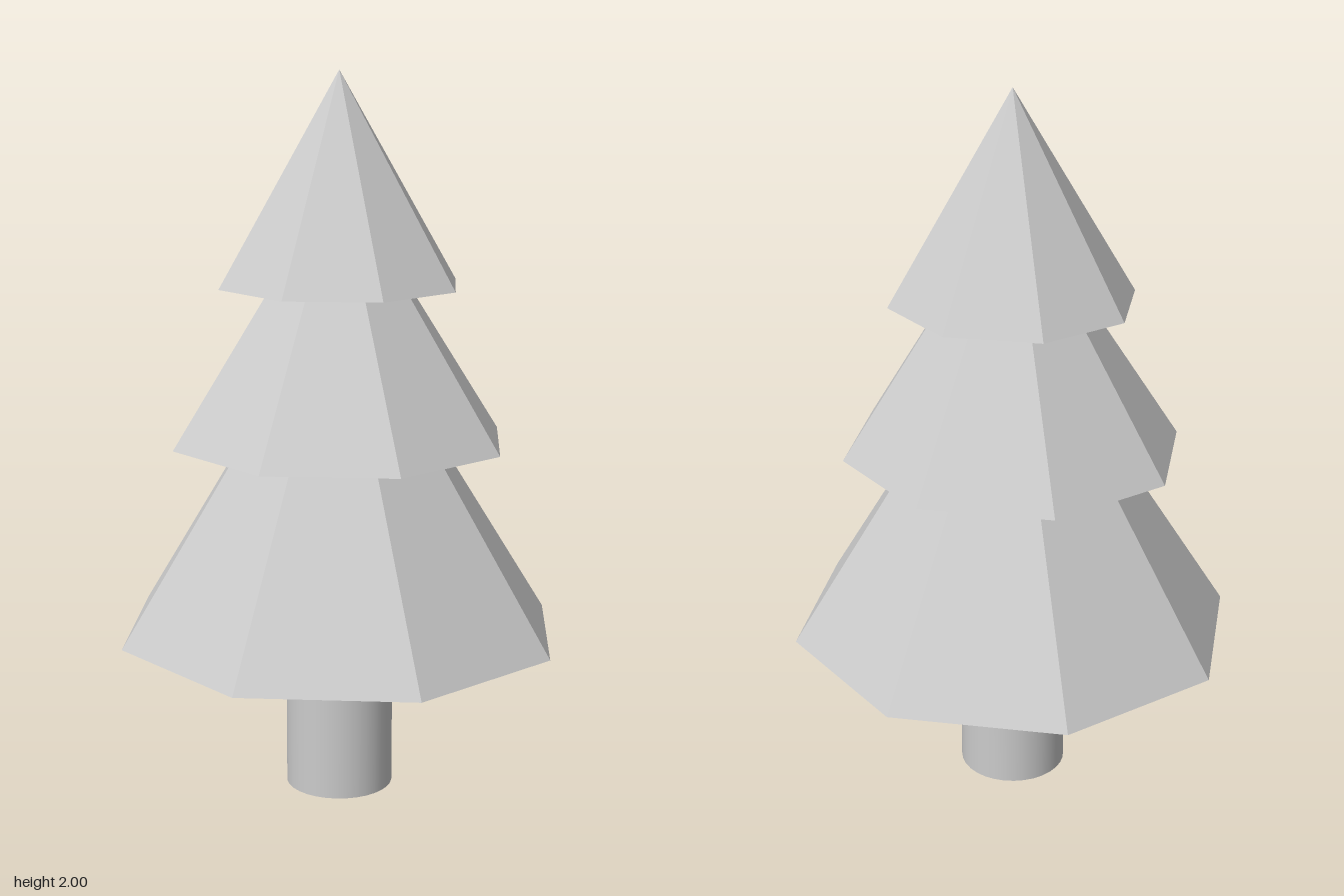
import * as THREE from 'three';

export function createModel() {
  const tree = new THREE.Group();
  tree.name = 'tree';

  // Trunk: smooth round post, reaching slightly into the lowest tier
  const trunk = new THREE.Mesh(
    new THREE.CylinderGeometry(0.15, 0.15, 0.47, 32),
    new THREE.MeshStandardMaterial({ color: 0xcccccc })
  );
  trunk.name = 'trunk';
  trunk.position.y = 0.235;
  tree.add(trunk);

  // Foliage: three stacked eight-sided cones, slightly narrower front to back
  const foliage = new THREE.MeshStandardMaterial({ color: 0xcccccc, flatShading: true });
  const tiers = [
    { name: 'lowerFoliage', radius: 0.63, base: 0.455, apex: 1.445 },
    { name: 'middleFoliage', radius: 0.475, base: 1.0, apex: 1.73 },
    { name: 'upperFoliage', radius: 0.341, base: 1.43, apex: 2.0 },
  ];
  for (const { name, radius, base, apex } of tiers) {
    const height = apex - base;
    const cone = new THREE.Mesh(new THREE.ConeGeometry(radius, height, 8), foliage);
    cone.name = name;
    cone.position.y = base + height / 2;
    cone.scale.z = 0.98;
    tree.add(cone);
  }

  return tree;
}
